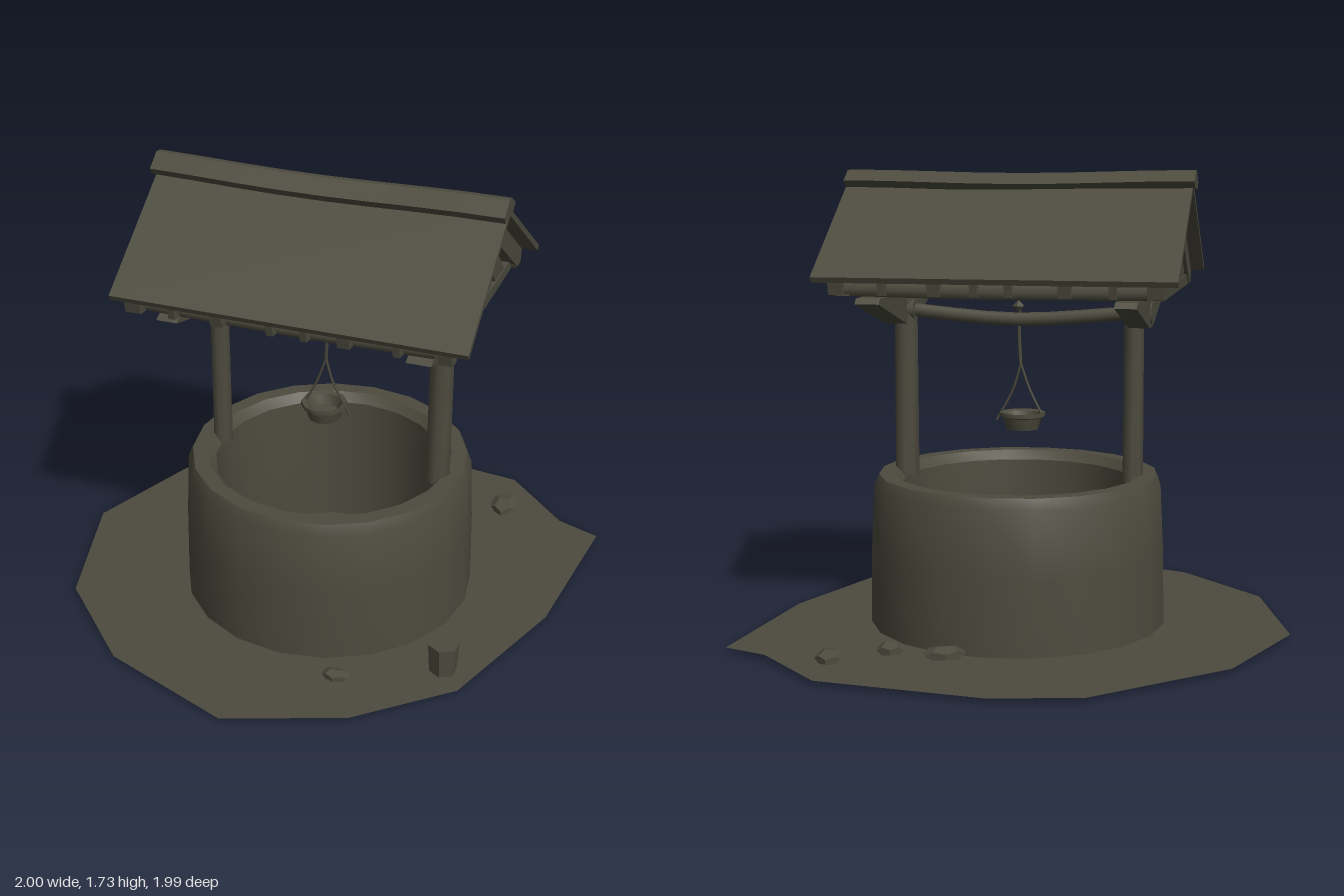
import * as THREE from 'three';
import { toCreasedNormals } from 'three/addons/utils/BufferGeometryUtils.js';

export function createModel() {
  const group = new THREE.Group();
  const stone = new THREE.MeshStandardMaterial({ color: 0x4d4b3e, side: THREE.DoubleSide });
  stone.name = 'weatheredGrey';

  const add = (name, geometry, x = 0, y = 0, z = 0) => {
    const mesh = new THREE.Mesh(geometry, stone);
    mesh.name = name;
    mesh.position.set(x, y, z);
    group.add(mesh);
    return mesh;
  };

  // Prism with a [z, y] outline, running from x0 to x1
  const prism = (name, outline, x0, x1, steps = 1) => {
    const shape = new THREE.Shape(outline.map(([z, y]) => new THREE.Vector2(-z, y)));
    const geometry = new THREE.ExtrudeGeometry(shape, { depth: x1 - x0, steps, bevelEnabled: false });
    geometry.rotateY(Math.PI / 2);
    return add(name, geometry, x0);
  };

  // Round log or rope through points
  const tube = (name, points, radius, sides = 8) => {
    const curve = new THREE.CatmullRomCurve3(points.map((p) => new THREE.Vector3(...p)));
    return add(name, new THREE.TubeGeometry(curve, 8, radius, sides));
  };

  // Irregular ground sheet
  const edge = [[-0.05, -1], [0.57, -0.93], [0.83, -0.68], [1, -0.62], [0.935, 0], [0.74, 0.545], [0.42, 0.825],
    [-0.01, 0.99], [-0.52, 0.8], [-0.855, 0.465], [-1, -0.06], [-0.82, -0.52], [-0.37, -0.93]];
  const sheet = new THREE.ShapeGeometry(new THREE.Shape(edge.map(([x, z]) => new THREE.Vector2(x, -z))));
  sheet.rotateX(-Math.PI / 2);
  add('ground', sheet, 0, 0.02, 0);

  // Hollow well wall with a worn rim
  const wall = new THREE.LatheGeometry([[0.565, 0.005], [0.56, 0.3], [0.548, 0.55], [0.53, 0.59], [0.47, 0.59],
    [0.44, 0.555], [0.43, 0.3], [0.43, 0.005]].map(([r, y]) => new THREE.Vector2(r, y)), 20);
  add('wellWall', toCreasedNormals(wall, 0.6), 0.045, 0, 0);

  // Posts standing on the rim
  for (const [x, r] of [[-0.395, 0.036], [0.485, 0.044]]) {
    add('post', toCreasedNormals(new THREE.CylinderGeometry(r, r + 0.003, 1.06, 8), 0.9), x, 1.09, 0.015);
  }

  // Tapered cross brackets on the posts
  const boat = [[0.42, 1.255], [0.07, 1.15], [-0.03, 1.15], [-0.41, 1.255], [-0.39, 1.275], [0.38, 1.275]];
  prism('bracket', boat, -0.46, -0.38);
  prism('bracket', boat, 0.47, 0.56);

  // Roof boards on both slopes
  prism('roofFront', [[0.01, 1.69], [0.01, 1.665], [0.475, 1.335], [0.485, 1.355]], -0.61, 0.705);
  prism('roofBack', [[0.01, 1.69], [-0.475, 1.355], [-0.465, 1.335], [0.01, 1.665]], -0.61, 0.705);

  // Wavy ridge log
  const ridge = prism('ridgeLog', [[0.09, 1.68], [0.075, 1.655], [-0.03, 1.66], [-0.055, 1.685], [0, 1.722], [0.03, 1.725]],
    -0.62, 0.705, 8);
  const p = ridge.geometry.attributes.position;
  for (let i = 0; i < p.count; i++) {
    const s = Math.sin(p.getX(i) * 4.74);
    p.setY(i, p.getY(i) + 0.006 * Math.cos(p.getX(i) * 4.74));
    p.setZ(i, p.getZ(i) + 0.006 * s);
  }
  ridge.geometry = toCreasedNormals(ridge.geometry, 0.4);

  // Rafters under each slope, alternating wide and narrow
  const rafters = [[-0.53, 0.06], [-0.38, 0.025], [-0.21, 0.045], [-0.01, 0.025],
    [0.115, 0.025], [0.26, 0.045], [0.45, 0.025], [0.62, 0.05]];
  for (const [x, w] of rafters) {
    for (const s of [1, -1]) {
      const outline = [[0, 1.665], [0, 1.575], [0.41, 1.285], [0.455, 1.29], [0.465, 1.335]];
      prism('rafter', outline.map(([z, y]) => [s * z + 0.005, y]), x - w / 2, x + w / 2);
    }
  }

  // Eave logs, tie beams and slanting gable struts
  for (const s of [1, -1]) {
    tube('eaveLog', [[-0.55, 1.312, s * 0.4], [0.05, 1.306, s * 0.405], [0.64, 1.312, s * 0.4]], 0.03, 6);
  }
  for (const x of [-0.53, 0.6]) {
    prism('tieBeam', [[0.43, 1.325], [0.43, 1.285], [-0.42, 1.285], [-0.42, 1.325]], x - 0.025, x + 0.025);
    for (const s of [1, -1]) {
      const strut = [[0.02, 1.6], [0.02, 1.5], [0.2, 1.3], [0.33, 1.3]];
      prism('gableStrut', strut.map(([z, y]) => [s * z + 0.01, y]), x - 0.02, x + 0.02);
    }
  }

  // Sagging winch log with thicker ends
  tube('winchLog', [[-0.45, 1.21, 0.015], [-0.2, 1.185, 0.015], [0.05, 1.17, 0.015], [0.3, 1.185, 0.015], [0.54, 1.21, 0.015]], 0.026);
  for (const x of [-0.41, 0.5]) {
    const end = add('winchEnd', toCreasedNormals(new THREE.CylinderGeometry(0.045, 0.045, 0.11, 8), 0.9), x, 1.205, 0.015);
    end.rotation.z = Math.PI / 2;
  }

  // Rope, knot and two bucket lines
  add('knot', new THREE.OctahedronGeometry(0.024), 0.047, 1.22, 0.02);
  tube('rope', [[0.047, 1.21, 0.045], [0.047, 1.1, 0.04], [0.04, 1, 0.03]], 0.007, 5);
  tube('bucketLine', [[0.04, 1, 0.03], [0.005, 0.9, 0.03], [-0.045, 0.8, 0.03]], 0.005, 5);
  tube('bucketLine', [[0.04, 1, 0.03], [0.07, 0.9, 0.03], [0.135, 0.78, 0.03]], 0.005, 5);

  // Shallow open bucket
  const bowl = [[0, 0.75], [0.062, 0.75], [0.075, 0.795], [0.088, 0.8], [0.088, 0.815], [0.07, 0.81], [0.055, 0.77], [0, 0.77]];
  const bucket = new THREE.LatheGeometry(bowl.map(([r, y]) => new THREE.Vector2(r, y)), 10);
  add('bucket', toCreasedNormals(bucket, 0.7), 0.033, 0, 0.028);

  // Loose stones: x, z, width, height, depth, turn
  const stones = [[0.19, -0.6, 0.15, 0.05, 0.11, 0.4], [0.39, -0.585, 0.1, 0.05, 0.1, 0.2],
    [0.58, -0.7, 0.1, 0.045, 0.16, 0.1], [0.3, 0.63, 0.1, 0.04, 0.07, 0]];
  for (const [x, z, w, h, d, turn] of stones) {
    const rock = add('stone', new THREE.DodecahedronGeometry(0.53), x, 0.015 + h / 2, z);
    rock.scale.set(w, h, d);
    rock.rotation.y = turn;
  }

  // Upright stone block beside the wall
  const block = new THREE.CylinderGeometry(0.06, 0.052, 0.12, 6);
  add('stoneBlock', toCreasedNormals(block, 0.3), 0.655, 0.08, 0.445);

  return group;
}
